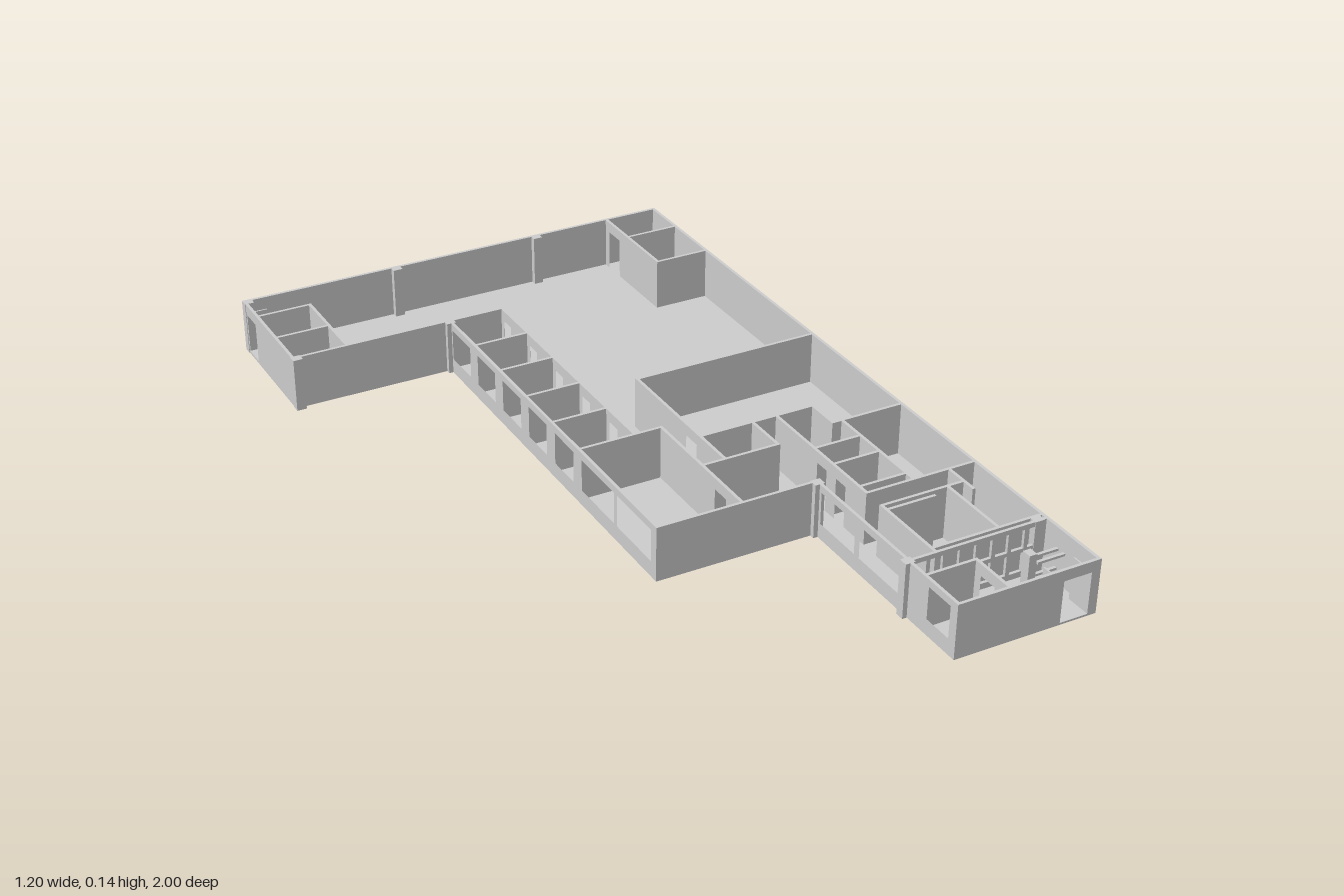
import * as THREE from 'three';

const H = 0.14, T = 0.008, FLOOR = 0.005, DOOR = 0.112;
const mat = new THREE.MeshStandardMaterial({ color: 0xcccccc, flatShading: true });

function add(group, geo, name) {
  const mesh = new THREE.Mesh(geo, mat);
  mesh.name = name;
  group.add(mesh);
  return mesh;
}

// Axis-aligned block given by its limits
function block(group, name, x0, x1, y0, y1, z0, z1) {
  add(group, new THREE.BoxGeometry(x1 - x0, y1 - y0, z1 - z0), name)
    .position.set((x0 + x1) / 2, (y0 + y1) / 2, (z0 + z1) / 2);
}

// Wall along x ('x') or z ('z') centred on line c, from a to b.
// Each opening is [from, to, bottom, top] in the same coordinates.
function wall(group, name, axis, c, a, b, openings = [], h = H) {
  a -= T / 2;
  b += T / 2;
  const s = axis === 'x' ? 1 : -1;
  const rect = (path, p, q, y0, y1) => {
    path.moveTo(s * p, y0).lineTo(s * q, y0).lineTo(s * q, y1).lineTo(s * p, y1).closePath();
    return path;
  };
  const shape = rect(new THREE.Shape(), a, b, 0, h);
  for (const [p, q, y0, y1] of openings) shape.holes.push(rect(new THREE.Path(), p, q, y0, y1));
  const geo = new THREE.ExtrudeGeometry(shape, { depth: T, bevelEnabled: false });
  geo.translate(0, 0, -T / 2);
  if (axis === 'z') geo.rotateY(Math.PI / 2);
  const mesh = add(group, geo, name);
  if (axis === 'x') mesh.position.z = c;
  else mesh.position.x = c;
}

const door = (p, q) => [p, q, FLOOR, DOOR];
const win = (p, q) => [p, q, 0.04, 0.122];

export function createModel() {
  const g = new THREE.Group();
  g.name = 'floorPlan';
  const X = 0.597, Z = 0.996;

  // Floor slab in the shape of the plan
  const plan = [[-0.6, -1], [0.6, -1], [0.6, 1], [0.235, 1], [0.235, 0.445],
    [-0.175, 0.445], [-0.175, -0.65], [-0.6, -0.65]];
  const floor = new THREE.ExtrudeGeometry(
    new THREE.Shape(plan.map(([x, z]) => new THREE.Vector2(x, -z))),
    { depth: FLOOR, bevelEnabled: false });
  floor.rotateX(-Math.PI / 2);
  add(g, floor, 'floor');

  // Outer walls
  const strip = [-0.65, -0.5, -0.355, -0.21, -0.07, 0.07];
  const bays = strip.slice(0, -1).map((z, i) => [z, strip[i + 1]]);
  const outer = new THREE.Group();
  outer.name = 'outerWalls';
  g.add(outer);
  wall(outer, 'backWall', 'x', -Z, -X, X);
  wall(outer, 'leftWall', 'z', X, -Z, Z);
  wall(outer, 'frontWall', 'x', Z, 0.235, X, [door(0.505, 0.578)]);
  wall(outer, 'frontWingSideWall', 'z', 0.235, 0.445, Z,
    [win(0.47, 0.61), win(0.63, 0.79), win(0.895, 0.975)]);
  wall(outer, 'middleFrontWall', 'x', 0.445, -0.175, 0.235);
  wall(outer, 'windowWall', 'z', -0.175, -0.65, 0.445,
    [...bays.map(([a, b]) => win(a + 0.022, b - 0.022)), win(0.09, 0.25), win(0.265, 0.425)]);
  wall(outer, 'backWingFrontWall', 'x', -0.65, -X, -0.03);
  wall(outer, 'backWingSideWall', 'z', -X, -Z, -0.65, [door(-0.97, -0.91)]);

  // Inner partitions: axis, line, from, to, openings
  const inner = new THREE.Group();
  inner.name = 'partitions';
  g.add(inner);
  const partitions = [
    // Rooms in the back corners
    ['z', -0.455, -0.9, -0.65], ['x', -0.9, -X, -0.455], ['x', -0.77, -X, -0.455],
    ['z', 0.45, -Z, -0.7, [door(-0.97, -0.91)]], ['x', -0.87, 0.45, X], ['x', -0.7, 0.45, X],
    // Row of small rooms
    ['z', -0.03, -0.65, 0.07, bays.map(([a]) => door(a + 0.02, a + 0.06))],
    ...strip.slice(1, -1).map(z => ['x', z, -0.175, -0.03]),
    ['x', 0.07, -0.175, 0.04], ['z', 0.04, 0.07, 0.445, [door(0.33, 0.38)]],
    // Large hall and its side room
    ['x', -0.16, 0.1, X], ['z', 0.1, -0.16, 0.265, [door(0.09, 0.14)]],
    ['x', 0.15, 0.1, 0.405], ['z', 0.24, 0.15, 0.265], ['x', 0.265, 0.04, 0.24],
    ['z', 0.405, 0.15, 0.24], ['x', 0.24, 0.405, X],
    // Service rooms
    ['z', 0.305, 0.15, 0.54, [door(0.34, 0.38), door(0.42, 0.46)]], ['z', 0.43, 0.24, 0.54],
    ...[0.32, 0.4, 0.51].map(z => ['x', z, 0.305, 0.43]),
    ['x', 0.54, 0.305, X],
    // Front offices
    ['z', 0.525, 0.54, 0.635], ['x', 0.6, 0.305, 0.525], ['x', 0.62, 0.305, 0.43],
    ['z', 0.305, 0.6, 0.81], ['z', 0.48, 0.6, 0.795], ['x', 0.795, 0.305, X],
    ['x', 0.875, 0.235, 0.365], ['z', 0.365, 0.875, Z, [door(0.9, 0.95)]],
  ];
  for (const [axis, c, a, b, holes] of partitions) wall(inner, 'partition', axis, c, a, b, holes);

  // Mullioned screen in the front wing
  const panes = [];
  for (let i = 0; i < 8; i++) {
    const a = 0.245 + i * 0.043;
    panes.push([a, a + 0.033, 0.02, 0.07], [a, a + 0.033, 0.08, 0.128]);
  }
  wall(g, 'screen', 'x', 0.812, 0.235, 0.59, panes);

  // Entrance fittings
  block(g, 'counterPost', 0.5, 0.52, 0, 0.11, 0.86, 0.885);
  for (const z of [0.862, 0.886])
    for (const y of [0.035, 0.085]) block(g, 'counterRail', 0.52, 0.597, y, y + 0.006, z - 0.004, z + 0.004);
  for (const x of [0.5, 0.58]) block(g, 'frontDoorLeaf', x - 0.002, x + 0.002, 0, DOOR, 0.935, 0.995);
  block(g, 'sideDoorLeaf', -0.6, -0.545, 0, DOOR, -0.982, -0.978);

  // Pilasters, by centre
  const pilasters = [[-0.59, -0.988], [-0.178, -0.988], [0.232, -0.988], [-0.59, -0.645],
    [-0.178, -0.645], [0.232, 0.45], [0.232, 0.812], [0.575, 0.806]];
  for (const [x, z] of pilasters)
    block(g, 'pilaster', x - 0.0125, x + 0.0125, 0, H, z - 0.0115, z + 0.0115);
  return g;
}
